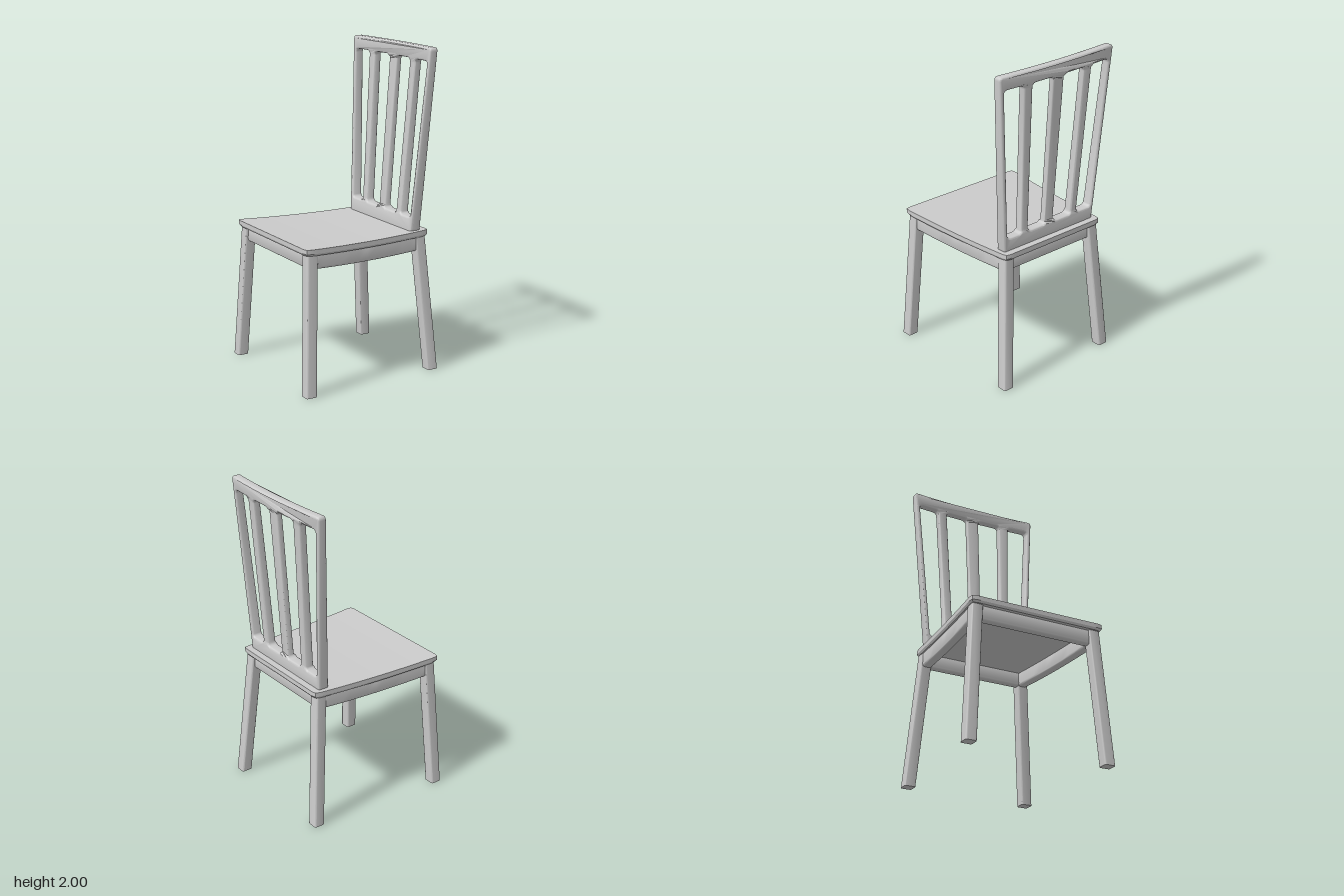
import * as THREE from 'three';
import { toCreasedNormals } from 'three/addons/utils/BufferGeometryUtils.js';

const material = new THREE.MeshStandardMaterial({ color: 0xcccccc });

// Apply fn(vertex) to every vertex of a geometry
function warp(geo, fn) {
  const p = geo.attributes.position;
  const v = new THREE.Vector3();
  for (let i = 0; i < p.count; i++) {
    fn(v.fromBufferAttribute(p, i));
    p.setXYZ(i, v.x, v.y, v.z);
  }
  return geo;
}

function addPart(group, name, geo, crease = 0.6) {
  const mesh = new THREE.Mesh(toCreasedNormals(geo, crease), material);
  mesh.name = name;
  group.add(mesh);
}

// Closed polygon with rounded corners, drawn into a Shape or Path
function roundedPoly(path, points, r) {
  const pts = points.map(([x, y]) => new THREE.Vector2(x, y));
  const toward = (a, b) => a.clone().add(b.clone().sub(a).setLength(r));
  pts.forEach((p, i) => {
    const a = toward(p, pts[(i + pts.length - 1) % pts.length]);
    const b = toward(p, pts[(i + 1) % pts.length]);
    if (i === 0) path.moveTo(a.x, a.y);
    else path.lineTo(a.x, a.y);
    path.quadraticCurveTo(p.x, p.y, b.x, b.y);
  });
  path.closePath();
  return path;
}

// Straight bar along z with a rounded rectangular section, centred
function bar(w, h, length, r, steps) {
  const shape = roundedPoly(new THREE.Shape(),
    [[-w / 2, -h / 2], [w / 2, -h / 2], [w / 2, h / 2], [-w / 2, h / 2]], r);
  return new THREE.ExtrudeGeometry(shape, {
    depth: length, steps, bevelEnabled: false, curveSegments: 4,
  }).translate(0, 0, -length / 2);
}

const seatDip = (x) => 0.01 * Math.max(0, 1 - (x / 0.45) ** 2);

// Tapered seat, gently hollowed from front to back
function seatGeometry() {
  const geo = new THREE.BoxGeometry(2, 2, 2, 24, 3, 24);
  return warp(geo, (v) => {
    const corner = Math.abs(v.x) > 0.99 && Math.abs(v.z) > 0.99 ? 0.985 : 1;
    const inset = (v.y < -0.9 ? 0.98 : 1) * corner;
    const x = -0.015 + 0.445 * v.x * inset;
    const halfWidth = 0.41 - 0.073 * (x + 0.015);
    v.set(x, 0.868 + 0.02 * v.y - seatDip(x), halfWidth * v.z * inset);
  });
}

// Splayed leg from a top centre to a foot centre
function legGeometry(top, foot) {
  const height = 0.86;
  const geo = bar(0.07, 0.07, height, 0.012, 1).rotateX(Math.PI / 2);
  return warp(geo, (v) => {
    const t = v.y / height + 0.5;
    v.x += THREE.MathUtils.lerp(foot[0], top[0], t);
    v.z += THREE.MathUtils.lerp(foot[1], top[1], t);
    v.y += height / 2;
  });
}

// Back frame: one panel with four openings that leave stiles, rails and slats
function backGeometry() {
  const y0 = 0.87, y1 = 2, hole0 = 0.965, hole1 = 1.917;
  const outline = [[-0.353, y0], [0.353, y0], [0.435, y1]];
  for (let i = 5; i >= -5; i--) outline.push([i * 0.065, y1]);
  outline.push([-0.435, y1]);
  const shape = roundedPoly(new THREE.Shape(), outline, 0.024);

  // Openings: inner and outer edge at the bottom, then at the top
  const openings = [[0.034, 0.17, 0.042, 0.197], [0.222, 0.332, 0.26, 0.4]];
  for (const side of [-1, 1]) {
    for (const [a, b, c, d] of openings) {
      shape.holes.push(roundedPoly(new THREE.Path(),
        [[side * a, hole0], [side * b, hole0], [side * d, hole1], [side * c, hole1]], 0.025));
    }
  }
  const bevel = 0.012;
  const geo = new THREE.ExtrudeGeometry(shape, {
    depth: 1 - 2 * 0.2, bevelThickness: 0.2, bevelSize: bevel, bevelOffset: -bevel,
    bevelSegments: 3, curveSegments: 5,
  }).translate(0, 0, -0.3).rotateY(Math.PI / 2);

  // Lean back, thin toward the top, bow the upper part rearward
  return warp(geo, (v) => {
    const t = (v.y - 0.89) / 1.11;
    const z = Math.abs(v.z);
    const onSlat = v.y > hole0 + 0.012 && v.y < hole1 - 0.012 && z < 0.275;
    const slim = onSlat ? (z < 0.07 ? 0.65 : 0.85) : 1;
    const depth = (0.07 - 0.015 * t) * slim;
    v.x = 0.35 + 0.0625 * t + 0.02 * t * (1 - (z / 0.435) ** 2) + v.x * depth;
  });
}

export function createModel() {
  const chair = new THREE.Group();
  chair.name = 'chair';

  addPart(chair, 'seat', seatGeometry(), 0.5);
  addPart(chair, 'backrest', backGeometry(), 0.7);

  for (const side of [-1, 1]) {
    const label = side > 0 ? 'Left' : 'Right';
    addPart(chair, 'frontLeg' + label, legGeometry([-0.405, side * 0.39], [-0.447, side * 0.445]));
    addPart(chair, 'rearLeg' + label, legGeometry([0.375, side * 0.335], [0.442, side * 0.398]));

    // Side rail follows the seat's taper and hollow
    const rail = bar(0.06, 0.1, 0.76, 0.018, 12).rotateY(-Math.PI / 2);
    addPart(chair, 'sideRail' + label, warp(rail, (v) => {
      v.x -= 0.015;
      v.y += 0.813 - 1.3 * seatDip(v.x);
      v.z += side * (0.362 - 0.07 * v.x);
    }));
  }

  // Cross rails between the leg pairs
  addPart(chair, 'frontRail', bar(0.055, 0.1, 0.75, 0.018, 1).translate(-0.4, 0.81, 0));
  addPart(chair, 'rearRail', bar(0.055, 0.1, 0.64, 0.018, 1).translate(0.37, 0.81, 0));

  return chair;
}
